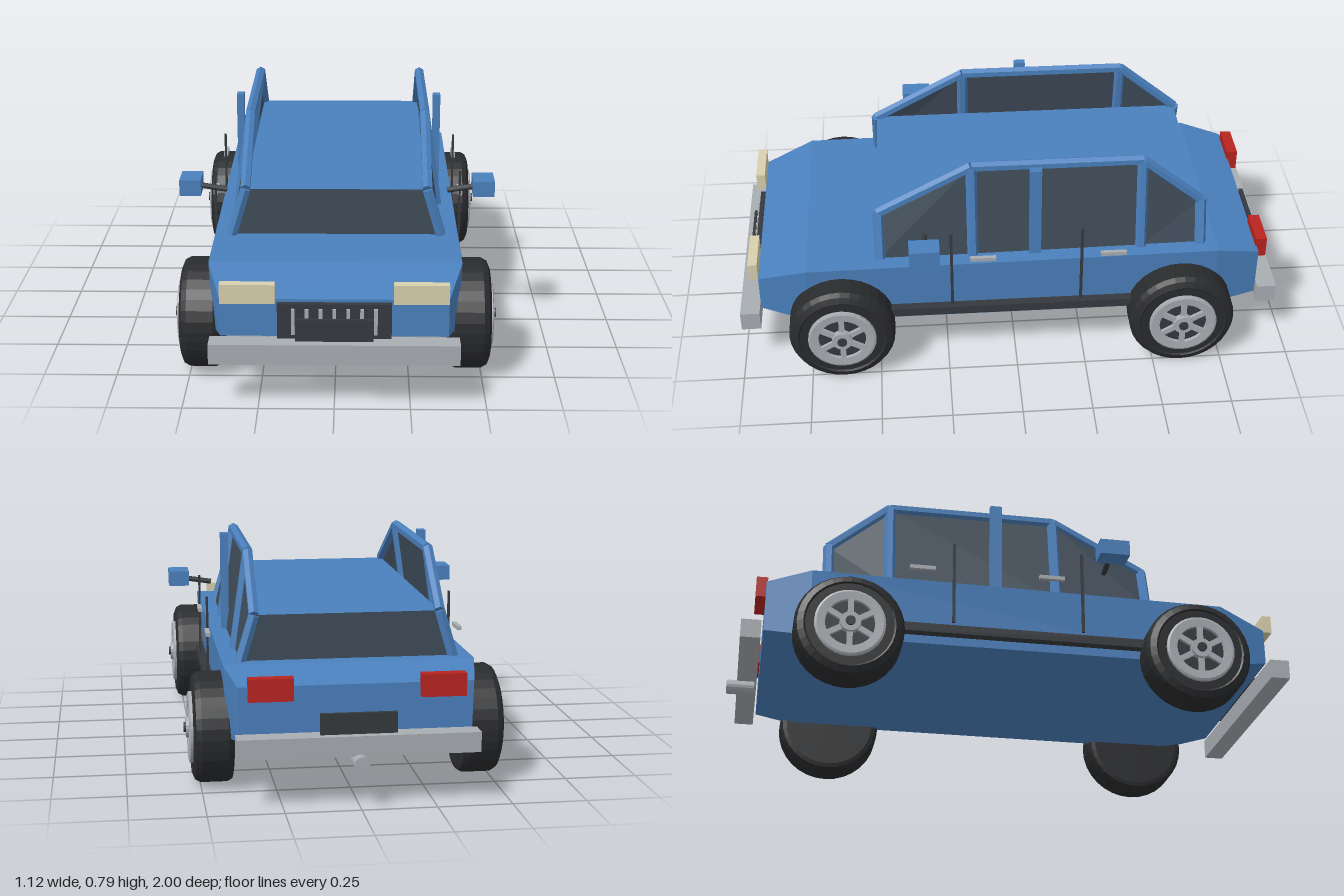
import * as THREE from 'three';

const paint = (color, extra = {}) => new THREE.MeshStandardMaterial({ color, flatShading: true, ...extra });
const M = {
  blue: paint(0x4a80bd),
  glass: paint(0x3f4c59, { side: THREE.DoubleSide }),
  rubber: paint(0x2a2b2d),
  dark: paint(0x35393d),
  silver: paint(0xa8adb2),
  cream: paint(0xd8d0ae),
  red: paint(0xb82420),
};

function add(parent, name, geometry, material) {
  const mesh = new THREE.Mesh(geometry, material);
  mesh.name = name;
  parent.add(mesh);
  return mesh;
}

// Box given by its [min, max] extents on each axis
function box(parent, name, material, [x0, x1], [y0, y1], [z0, z1]) {
  const mesh = add(parent, name, new THREE.BoxGeometry(x1 - x0, y1 - y0, z1 - z0), material);
  mesh.position.set((x0 + x1) / 2, (y0 + y1) / 2, (z0 + z1) / 2);
  return mesh;
}

// Box on one side of the car (s = +1 or -1)
const sideBox = (parent, name, material, s, [x0, x1], y, z) =>
  box(parent, name, material, s > 0 ? [x0, x1] : [-x1, -x0], y, z);

// Straight bar between two points
function bar(parent, name, material, a, b, radius, sides = 6) {
  const p = new THREE.Vector3(...a), q = new THREE.Vector3(...b);
  const dir = q.clone().sub(p);
  const mesh = add(parent, name, new THREE.CylinderGeometry(radius, radius, dir.length(), sides), material);
  mesh.position.copy(p).add(q).multiplyScalar(0.5);
  mesh.quaternion.setFromUnitVectors(new THREE.Vector3(0, 1, 0), dir.normalize());
  return mesh;
}

// Faces from four-cornered patches, corners counter-clockwise from outside
function quads(list) {
  const pos = [];
  for (const [a, b, c, d] of list) pos.push(...a, ...b, ...c, ...a, ...c, ...d);
  const g = new THREE.BufferGeometry();
  g.setAttribute('position', new THREE.Float32BufferAttribute(pos, 3));
  g.computeVertexNormals();
  return g;
}

// Lower body lofted through rectangular cross-sections, front to back
function bodyGeometry() {
  const sections = [ // z, bottom y, top y, half width below, half width above
    [0.925, 0.23, 0.36, 0.375, 0.375],
    [0.75, 0.19, 0.42, 0.415, 0.425],
    [-0.73, 0.19, 0.435, 0.415, 0.425],
    [-0.885, 0.21, 0.395, 0.385, 0.39],
  ];
  const rings = sections.map(([z, y0, y1, w0, w1]) =>
    [[-w0, y0, z], [w0, y0, z], [w1, y1, z], [-w1, y1, z]]);
  const faces = [rings[0], [...rings[3]].reverse()];
  for (let i = 0; i < 3; i++)
    for (let k = 0; k < 4; k++) {
      const n = (k + 1) % 4;
      faces.push([rings[i][n], rings[i][k], rings[i + 1][k], rings[i + 1][n]]);
    }
  return quads(faces);
}

const BELT = 0.425, LOW = 0.59, HIGH = 0.77, FOOT = 0.365, HEAD = 0.316;
const POSTS = [[0.485, LOW], [0.152, HIGH], [-0.455, HIGH], [-0.672, LOW]]; // z, top y

function buildCabin(car) {
  const cabin = new THREE.Group();
  cabin.name = 'cabin';
  const [zf, zr] = [POSTS[0][0], POSTS[3][0]];
  add(cabin, 'windshield', quads([[[-FOOT, BELT, zf], [FOOT, BELT, zf], [HEAD, LOW, zf], [-HEAD, LOW, zf]]]), M.glass);
  add(cabin, 'rearWindow', quads([[[FOOT, BELT, zr], [-FOOT, BELT, zr], [-HEAD, LOW, zr], [HEAD, LOW, zr]]]), M.glass);
  box(cabin, 'roof', M.blue, [-HEAD, HEAD], [LOW - 0.006, LOW], [zr, zf]);
  for (const s of [1, -1]) {
    // Side glass, posts and the rail running over them
    POSTS.forEach(([z, top], i) => {
      bar(cabin, 'post', M.blue, [s * FOOT, BELT, z], [s * HEAD, top, z], 0.02);
      if (i === 3) return;
      const [z2, top2] = POSTS[i + 1];
      add(cabin, 'sideWindow', quads([[[s * FOOT, BELT, z], [s * FOOT, BELT, z2],
        [s * HEAD, top2, z2], [s * HEAD, top, z]]]), M.glass);
      bar(cabin, 'roofRail', M.blue, [s * HEAD, top, z], [s * HEAD, top2, z2], 0.019);
    });
    sideBox(cabin, 'centrePost', M.blue, s, [0.355, 0.382], [0.42, 0.783], [-0.092, -0.05]);
  }
  car.add(cabin);
}

const lathe = (profile, n = 32) => new THREE.LatheGeometry(profile.map(p => new THREE.Vector2(...p)), n);

// Wheel built around y, its outer face towards +y
function buildWheel() {
  const wheel = new THREE.Group();
  wheel.name = 'wheel';
  add(wheel, 'tyre', lathe([[0, -0.065], [0.165, -0.065], [0.18, -0.062], [0.19, -0.045], [0.19, 0.045],
    [0.18, 0.063], [0.158, 0.072], [0.152, 0.068], [0.122, 0.068], [0, 0.06]]), M.rubber);
  add(wheel, 'rim', lathe([[0.122, 0.06], [0.122, 0.079], [0.115, 0.082], [0.086, 0.08], [0.084, 0.06]]), M.silver);
  add(wheel, 'rimDish', new THREE.CylinderGeometry(0.09, 0.09, 0.01, 32), M.dark).position.y = 0.063;
  for (let i = 0; i < 6; i++) {
    const a = i * Math.PI / 3;
    const spoke = add(wheel, 'spoke', new THREE.BoxGeometry(0.062, 0.014, 0.02), M.silver);
    spoke.position.set(Math.cos(a) * 0.06, 0.073, -Math.sin(a) * 0.06);
    spoke.rotation.y = a;
  }
  add(wheel, 'hub', new THREE.CylinderGeometry(0.036, 0.038, 0.03, 16), M.silver).position.y = 0.075;
  add(wheel, 'hubCap', new THREE.CylinderGeometry(0.017, 0.017, 0.014, 12), M.dark).position.y = 0.09;
  return wheel;
}

export function createModel() {
  const car = new THREE.Group();
  car.name = 'car';
  add(car, 'body', bodyGeometry(), M.blue);
  buildCabin(car);

  // Front end
  box(car, 'frontBumper', M.silver, [-0.41, 0.41], [0.16, 0.23], [0.93, 1]);
  box(car, 'grille', M.dark, [-0.187, 0.187], [0.23, 0.35], [0.918, 0.945]);
  for (let i = -3; i <= 3; i++)
    box(car, 'grilleBar', M.silver, [i * 0.045 - 0.006, i * 0.045 + 0.006], [0.247, 0.335], [0.943, 0.955]);
  box(car, 'frontPlate', M.dark, [-0.127, 0.127], [0.23, 0.305], [0.956, 0.97]);

  // Rear end
  box(car, 'rearBumper', M.silver, [-0.4, 0.4], [0.172, 0.24], [-0.963, -0.893]);
  box(car, 'rearPlate', M.dark, [-0.127, 0.127], [0.235, 0.31], [-0.935, -0.92]);
  bar(car, 'exhaust', M.silver, [0, 0.154, -0.9], [0, 0.154, -1], 0.026, 16);

  for (const s of [1, -1]) {
    sideBox(car, 'headlight', M.cream, s, [0.193, 0.373], [0.356, 0.422], [0.925, 0.958]);
    sideBox(car, 'tailLight', M.red, s, [0.21, 0.358], [0.352, 0.428], [-0.92, -0.88]);
    sideBox(car, 'sill', M.dark, s, [0.41, 0.45], [0.22, 0.252], [-0.48, 0.5]);

    // Door seams and handles
    for (const z of [0.232, -0.232])
      sideBox(car, 'doorSeam', M.dark, s, [0.44, 0.448], [0.265, 0.575], [z - 0.005, z + 0.005]);
    for (const z of [0.12, -0.345])
      sideBox(car, 'doorHandle', M.silver, s, [0.443, 0.458], [0.46, 0.474], [z - 0.046, z + 0.046]);

    // Mirror
    bar(car, 'mirrorArm', M.dark, [s * 0.393, 0.535, 0.325], [s * 0.49, 0.55, 0.325], 0.01, 10);
    sideBox(car, 'mirror', M.blue, s, [0.482, 0.558], [0.528, 0.585], [0.275, 0.382]);

    for (const z of [0.632, -0.598]) {
      const wheel = buildWheel();
      wheel.rotation.z = -s * Math.PI / 2;
      wheel.position.set(s * 0.455, 0.193, z);
      car.add(wheel);
    }
  }
  return car;
}
